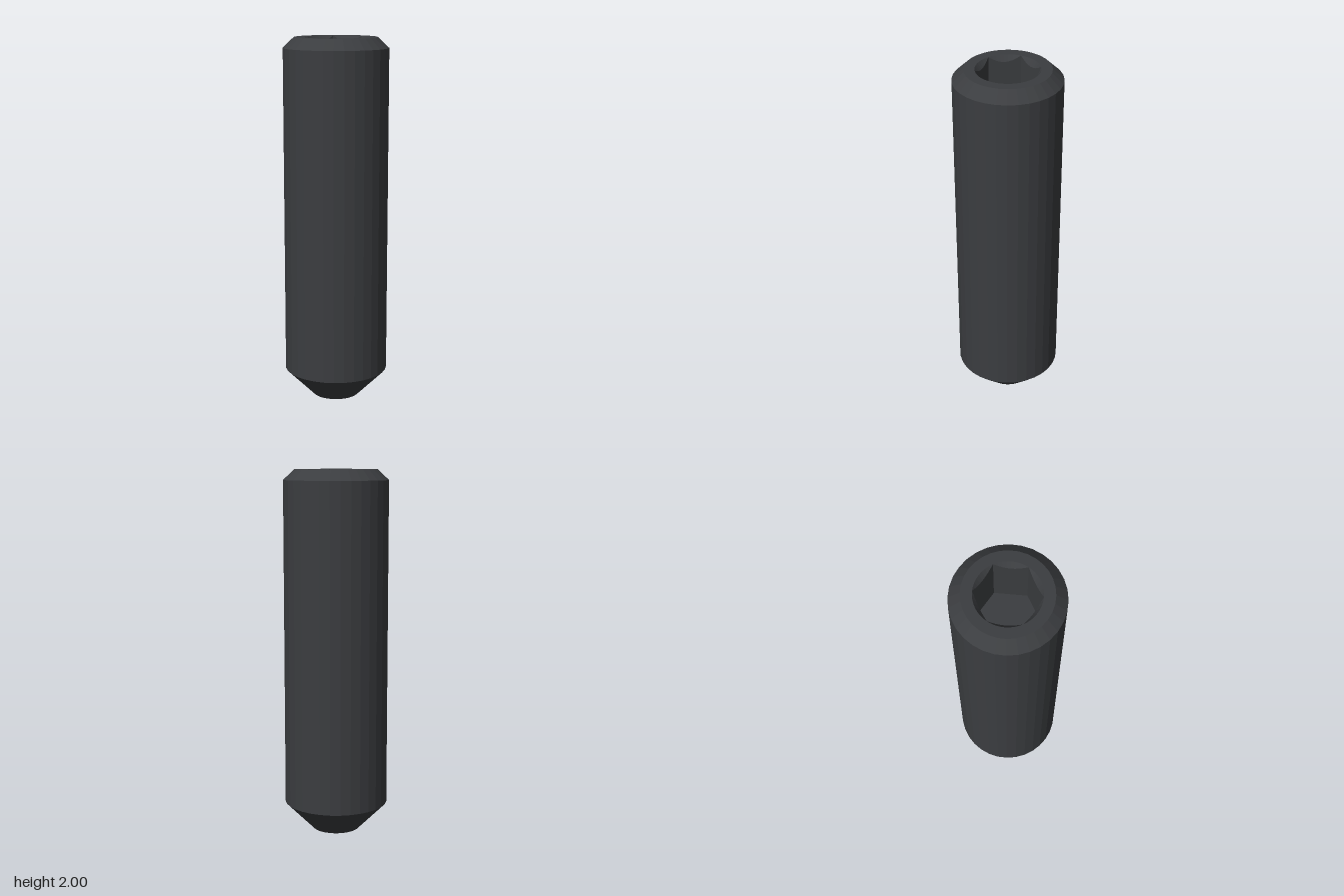
import * as THREE from 'three';

const SIDES = 32, SOCKET_SIDES = 48;
const HEIGHT = 2, TOP_R = 0.225, HEX_R = 0.168, SOCKET_DEPTH = 0.33;

const ringPoints = (radius, n) => Array.from({ length: n }, (_, i) => {
  const a = (i / n) * Math.PI * 2;
  return new THREE.Vector2(radius * Math.cos(a), radius * Math.sin(a));
});

// Distance from the axis to a hexagon with corners on the x axis
function hexRadius(angle) {
  const sector = Math.PI / 3;
  return HEX_R * Math.cos(sector / 2) / Math.cos((angle % sector) - sector / 2);
}

// Countersunk rim, hexagonal walls and flat floor, from top to bottom
function socketGeometry() {
  const rows = [
    () => [HEX_R, HEIGHT],
    a => [hexRadius(a), HEIGHT - (HEX_R - hexRadius(a)) * 1.4],
    a => [hexRadius(a), HEIGHT - SOCKET_DEPTH],
    () => [0, HEIGHT - SOCKET_DEPTH],
  ];
  const positions = [], index = [];
  rows.forEach((row, i) => {
    for (let j = 0; j < SOCKET_SIDES; j++) {
      const angle = (j / SOCKET_SIDES) * Math.PI * 2;
      const [r, y] = row(angle);
      positions.push(r * Math.cos(angle), y, r * Math.sin(angle));
      if (i === rows.length - 1) continue;
      const a = i * SOCKET_SIDES + j;
      const b = i * SOCKET_SIDES + (j + 1) % SOCKET_SIDES;
      const c = a + SOCKET_SIDES, d = b + SOCKET_SIDES;
      index.push(a, c, b);
      if (i < rows.length - 2) index.push(b, c, d);
    }
  });
  const geometry = new THREE.BufferGeometry();
  geometry.setAttribute('position', new THREE.Float32BufferAttribute(positions, 3));
  geometry.setIndex(index);
  geometry.computeVertexNormals();
  return geometry;
}

export function createModel() {
  const group = new THREE.Group();
  group.name = 'setScrew';
  const material = new THREE.MeshStandardMaterial({ color: 0x3b3d40, flatShading: true });
  const add = (name, geometry) => {
    const mesh = new THREE.Mesh(geometry, material);
    mesh.name = name;
    group.add(mesh);
  };

  // Shank with hollow cup point, bottom taper and top chamfer
  const profile = [[0, 0.075], [0.13, 0], [0.285, 0.155], [0.285, 1.943], [TOP_R, HEIGHT]];
  add('shank', new THREE.LatheGeometry(profile.map(p => new THREE.Vector2(...p)), SIDES));

  // Flat ring around the socket
  const ring = new THREE.Shape(ringPoints(TOP_R, SIDES));
  ring.holes.push(new THREE.Path(ringPoints(HEX_R, SOCKET_SIDES)));
  add('topFace', new THREE.ShapeGeometry(ring).rotateX(-Math.PI / 2).translate(0, HEIGHT, 0));

  // Hex drive recess
  add('hexSocket', socketGeometry());
  return group;
}
